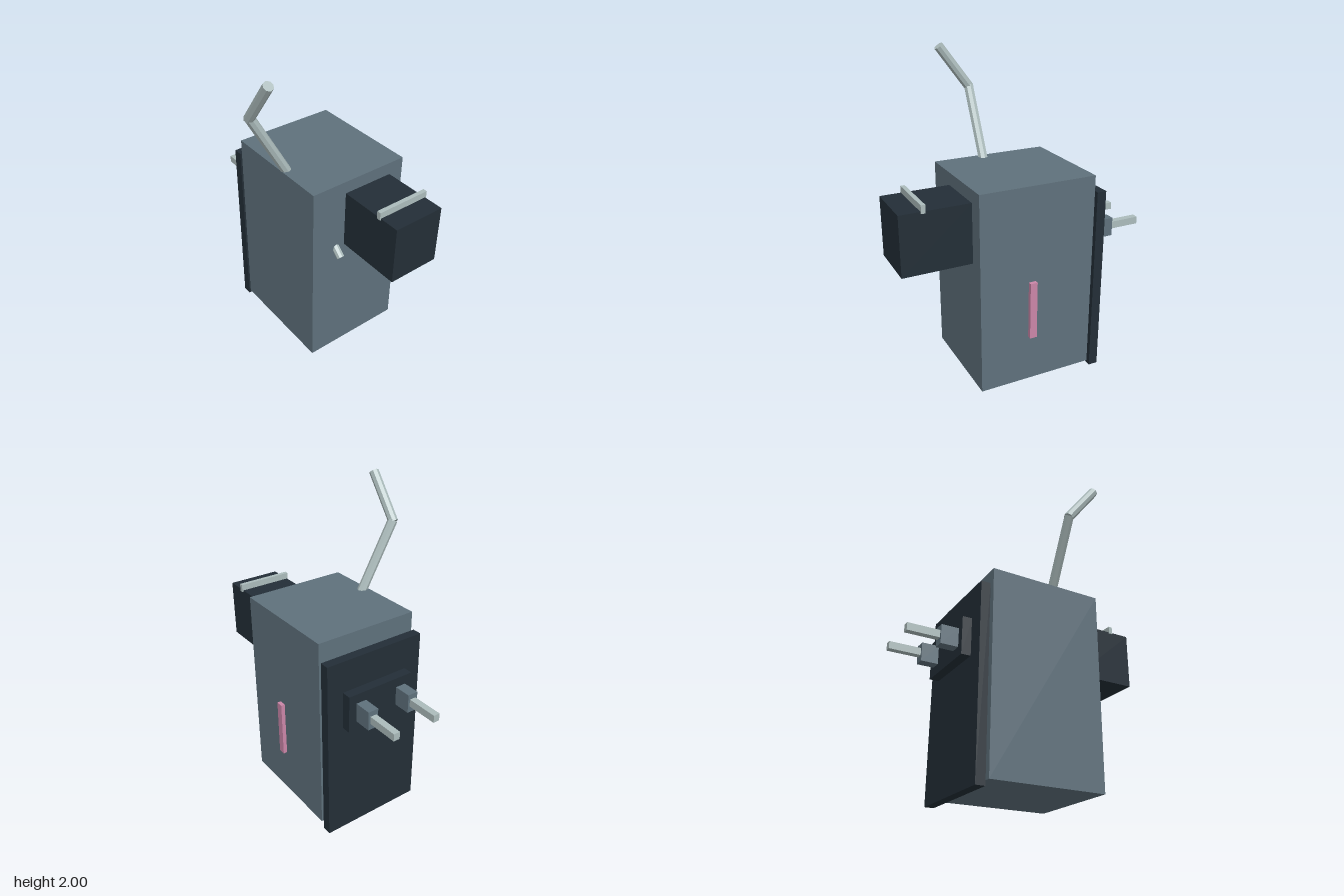
import * as THREE from 'three';

const mat = (name, color, flat = false) => {
  const m = new THREE.MeshStandardMaterial({ color, flatShading: flat });
  m.name = name;
  return m;
};

export function createModel() {
  const root = new THREE.Group();
  root.name = 'pluggedDevice';
  const slate = mat('slate', 0x5f717c);
  const dark = mat('darkNavy', 0x232e37);
  const metal = mat('paleMetal', 0xacbcbc, true);
  const pink = mat('pink', 0xcb86a8);

  // Box given by its lower and upper corner
  const box = (name, material, [x0, y0, z0], [x1, y1, z1]) => {
    const mesh = new THREE.Mesh(new THREE.BoxGeometry(x1 - x0, y1 - y0, z1 - z0), material);
    mesh.position.set((x0 + x1) / 2, (y0 + y1) / 2, (z0 + z1) / 2);
    mesh.name = name;
    root.add(mesh);
  };

  // Eight-sided rod between two points
  const rod = (name, a, b, r) => {
    const p = new THREE.Vector3(...a), q = new THREE.Vector3(...b);
    const d = q.clone().sub(p);
    const mesh = new THREE.Mesh(new THREE.CylinderGeometry(r, r, d.length(), 8), metal);
    mesh.position.copy(p).add(q).multiplyScalar(0.5);
    mesh.quaternion.setFromUnitVectors(new THREE.Vector3(0, 1, 0), d.normalize());
    mesh.name = name;
    root.add(mesh);
  };

  // Housing and back panel, with a narrow gap between them
  box('body', slate, [-0.24, 0.04, -0.36], [0.43, 1.31, 0.385]);
  box('backPanel', dark, [-0.24, 0, -0.44], [0.43, 1.2, -0.38]);
  box('plugPlate', dark, [-0.13, 0.76, -0.5], [0.325, 1.0, -0.44]);

  // Two plug prongs on square bases
  for (const x of [-0.05, 0.24]) {
    box('prongBase', slate, [x - 0.034, 0.82, -0.61], [x + 0.034, 0.94, -0.5]);
    box('prong', metal, [x - 0.021, 0.86, -0.812], [x + 0.021, 0.907, -0.61]);
  }

  // Front block with a bar across its top
  box('frontBlock', dark, [-0.006, 0.858, 0.385], [0.33, 1.23, 0.812]);
  box('topBar', metal, [-0.012, 1.22, 0.658], [0.338, 1.27, 0.684]);

  // Side strip
  box('sideStrip', pink, [0.43, 0.34, 0.028], [0.455, 0.71, 0.074]);

  // Bent handle
  rod('handleLower', [-0.18, 1.26, 0.075], [-0.43, 1.72, 0.066], 0.031);
  rod('handleUpper', [-0.43, 1.71, 0.06], [-0.43, 1.982, 0.262], 0.031);

  // Small spout on the front
  rod('spout', [-0.065, 0.885, 0.345], [-0.065, 0.808, 0.43], 0.024);

  return root;
}
